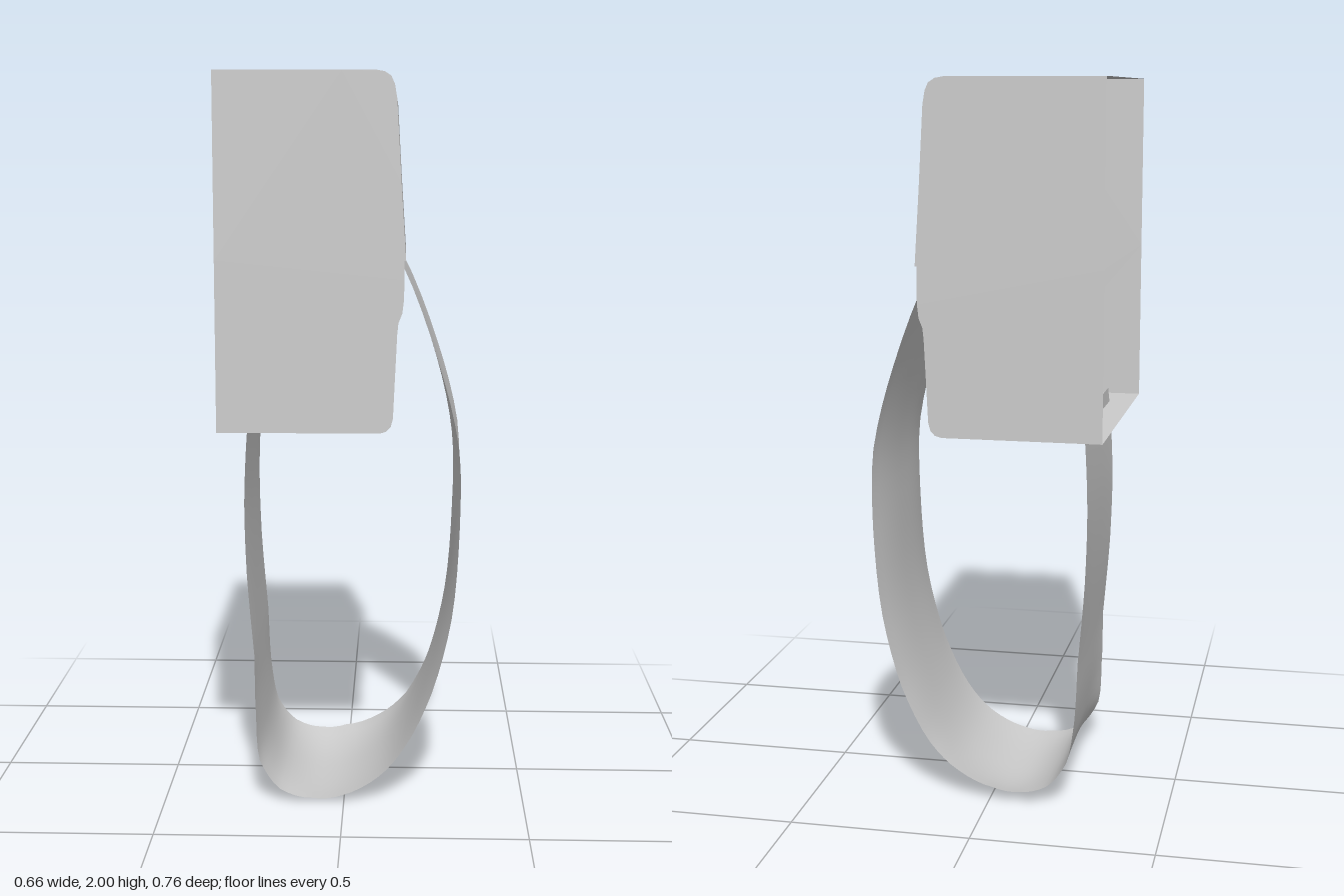
import * as THREE from 'three';

const material = new THREE.MeshStandardMaterial({ color: 0xcccccc, side: THREE.DoubleSide });
const BACK = -0.33, HALF = 0.38;

// Smooth sheet from a grid of points, point(i, j) -> [x, y, z]
function sheet(rows, cols, point) {
  const pos = [], index = [];
  for (let i = 0; i < rows; i++) {
    for (let j = 0; j < cols; j++) {
      pos.push(...point(i, j));
      if (i < rows - 1 && j < cols - 1) {
        const a = i * cols + j, b = a + cols;
        index.push(a, b, b + 1, a, b + 1, a + 1);
      }
    }
  }
  const g = new THREE.BufferGeometry();
  g.setAttribute('position', new THREE.Float32BufferAttribute(pos, 3));
  g.setIndex(index);
  g.computeVertexNormals();
  return g;
}

function add(parent, name, geometry) {
  const mesh = new THREE.Mesh(geometry, material);
  mesh.name = name;
  parent.add(mesh);
}

// Open-sided shell: wall swept along z plus flat front and back sides
function shell(name, profile, corner, dent = () => 0) {
  const group = new THREE.Group();
  group.name = name;
  const cols = 33;
  add(group, name + 'Wall', sheet(profile.length, cols, (i, j) => {
    const z = HALF - (2 * HALF * j) / (cols - 1);
    const [x, y] = profile[i];
    return [x - dent(y, z), y, z];
  }));
  const outline = new THREE.Shape([...profile, corner].map(p => new THREE.Vector2(...p)));
  for (const [side, z] of [['Front', HALF], ['Back', -HALF]]) {
    add(group, name + side, new THREE.ShapeGeometry(outline).translate(0, 0, z));
  }
  return group;
}

export function createModel() {
  const model = new THREE.Group();
  model.name = 'strappedCase';

  // Upper cover
  model.add(shell('cover', [
    [BACK, 2], [0.0, 2], [0.085, 2], [0.108, 1.996], [0.125, 1.985], [0.134, 1.965],
    [0.14, 1.93], [0.152, 1.72], [0.165, 1.52],
  ], [BACK, 1.52]));

  // Lower body, its upper lip dented inward where the strap enters
  const dent = (y, z) => 0.065
    * THREE.MathUtils.smoothstep(y, 1.36, 1.5)
    * (1 - THREE.MathUtils.smoothstep(Math.abs(z), 0.22, 0.37));
  model.add(shell('body', [
    [0.16, 1.52], [0.161, 1.47], [0.16, 1.42], [0.156, 1.385], [0.146, 1.36], [0.143, 1.33],
    [0.137, 1.2], [0.133, 1.11], [0.127, 1.087], [0.115, 1.075], [0.098, 1.07], [0.05, 1.07], [BACK, 1.07],
  ], [BACK, 1.52], dent));

  // Strap stations: x, y, front z, back z, outward flare of front and back edges
  const stations = [
    [0.11, 1.57, 0.22, -0.25, 0, 0], [0.16, 1.49, 0.22, -0.25, 0, 0],
    [0.25, 1.24, 0.225, -0.25, 0.003, 0.01], [0.3, 1.0, 0.225, -0.25, 0.012, 0.022],
    [0.302, 0.78, 0.23, -0.245, 0.014, 0.026], [0.283, 0.53, 0.235, -0.24, 0.014, 0.024],
    [0.235, 0.32, 0.24, -0.235, 0.01, 0.02], [0.17, 0.16, 0.245, -0.232, 0, 0.006],
    [0.1, 0.07, 0.255, -0.24, -0.006, -0.015], [0.0, 0.012, 0.265, -0.25, -0.012, -0.033],
    [-0.09, 0.006, 0.268, -0.25, -0.01, -0.03], [-0.17, 0.05, 0.268, -0.25, 0.012, -0.01],
    [-0.215, 0.13, 0.265, -0.245, 0.02, 0.004], [-0.236, 0.25, 0.255, -0.24, 0.008, 0.004],
    [-0.248, 0.42, 0.245, -0.238, 0, 0], [-0.263, 0.65, 0.24, -0.24, 0.004, 0.003],
    [-0.268, 0.85, 0.24, -0.24, 0.004, 0.003], [-0.262, 1.03, 0.238, -0.24, 0.002, 0.002],
    [-0.256, 1.11, 0.238, -0.24, 0, 0],
  ];
  const path = new THREE.CatmullRomCurve3(stations.map(s => new THREE.Vector3(s[0], s[1], 0)));
  const rows = 73, cols = 13, last = stations.length - 1;
  add(model, 'strap', sheet(rows, cols, (i, j) => {
    const t = i / (rows - 1), k = Math.min(Math.floor(t * last), last - 1), f = t * last - k;
    const mix = n => THREE.MathUtils.lerp(stations[k][n], stations[k + 1][n], f);
    const p = path.getPoint(t), d = path.getTangent(t);
    const u = j / (cols - 1), s = 2 * u - 1;
    const flare = (s < 0 ? mix(4) : mix(5)) * Math.abs(s) ** 2.5;
    return [p.x - d.y * flare, Math.max(0, p.y + d.x * flare), THREE.MathUtils.lerp(mix(2), mix(3), u)];
  }));

  return model;
}
